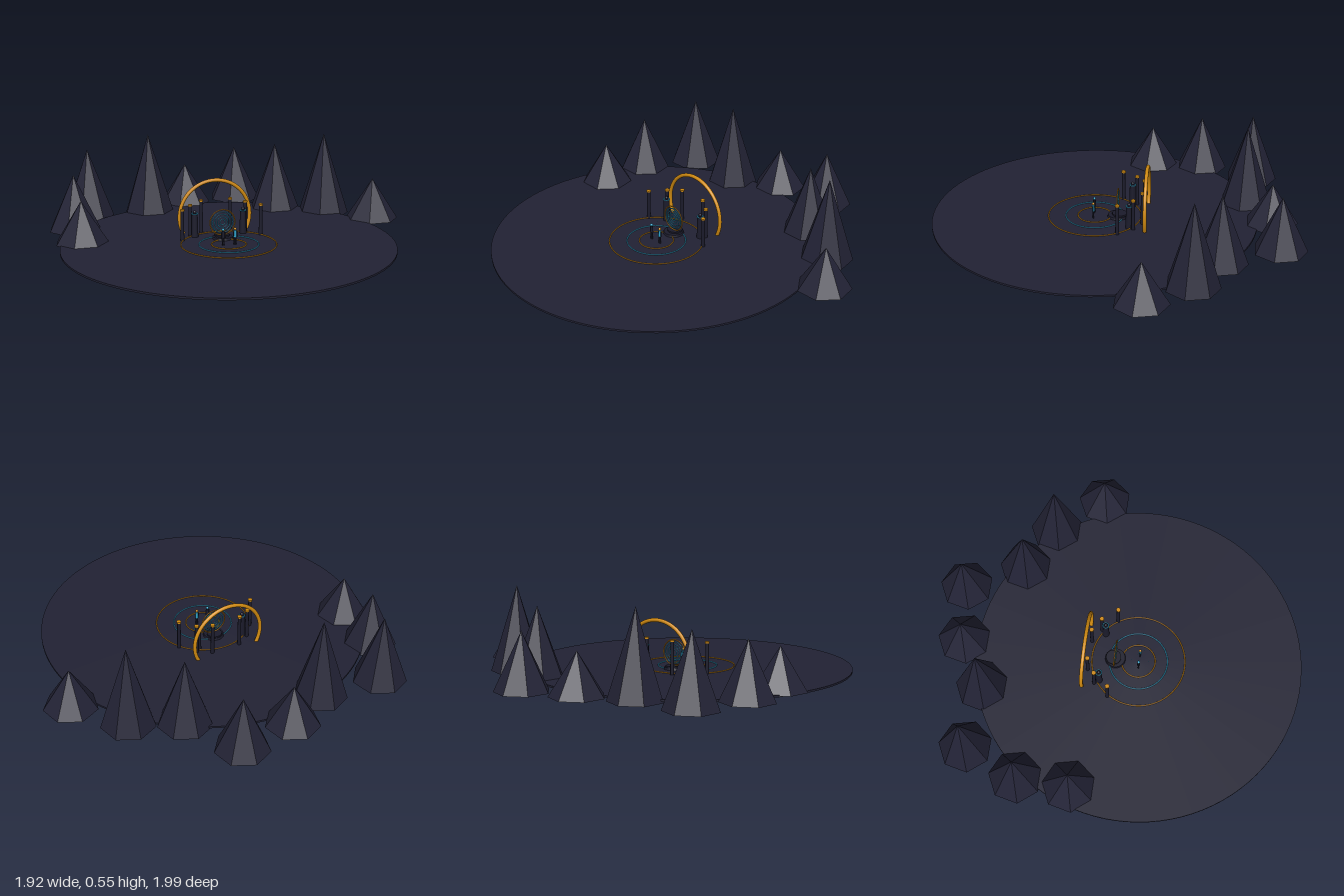
import * as THREE from 'three';

export function createModel() {
  const root = new THREE.Group();
  const mat = (name, color, flat = false) =>
    Object.assign(new THREE.MeshStandardMaterial({ color, flatShading: flat }), { name });
  const ground = mat('night ground', 0x222234);
  const rock = mat('mountain rock', 0x232336, true);
  const stone = mat('dark stone', 0x1b1b2b);
  const gold = mat('gold', 0xd08a10);
  const blue = mat('glowing blue', 0x30a4cc);

  const add = (name, geo, material, x, y, z, parent = root) => {
    const m = new THREE.Mesh(geo, material);
    m.name = name;
    m.position.set(x, y, z);
    parent.add(m);
    return m;
  };
  const cyl = (r0, r1, h, n = 12) => new THREE.CylinderGeometry(r0, r1, h, n);

  const CX = -0.09, CZ = 0.123, FLOOR = 0.12;

  // Round ground plate
  add('ground', cyl(0.868, 0.868, 0.01, 96), ground, CX, FLOOR - 0.005, CZ);

  // Seven-sided mountains, four heights repeating round the arc: [x, z]
  const spots = [[-0.81, -0.144], [-0.80, -0.424], [-0.673, -0.71], [-0.334, -0.678], [-0.09, -0.816],
    [0.217, -0.858], [0.37, -0.556], [0.617, -0.424], [0.82, -0.186]];
  spots.forEach(([x, z], i) => {
    const k = i % 4;
    const base = 0.115 - k * 0.005, top = 0.338 + k * 0.072;
    const m = add('mountain', new THREE.ConeGeometry(0.142, top - base, 7), rock, x, (base + top) / 2, z);
    m.rotation.y = Math.PI;
  });

  // Great upright hoop, half sunk through the ground
  add('greatHoop', new THREE.TorusGeometry(0.194, 0.01, 10, 72), gold, CX, 0.204, -0.155);

  // Inlaid floor rings
  for (const [r, m] of [[0.248, gold], [0.155, blue], [0.09, gold]]) {
    const ring = add('floorRing', new THREE.TorusGeometry(r, 0.003, 6, 72), m, CX, FLOOR + 0.003, CZ);
    ring.rotation.x = Math.PI / 2;
  }

  for (const s of [-1, 1]) {
    // Slim columns with gold caps: [offset from centre, z, top]
    for (const [dx, z, top] of [[0.08, -0.137, 0.3], [0.151, -0.093, 0.29], [0.213, -0.014, 0.288]]) {
      const col = new THREE.Group();
      col.name = 'column';
      col.position.set(CX + s * dx, FLOOR, z);
      root.add(col);
      const h = top - FLOOR;
      add('shaft', cyl(0.009, 0.01, h - 0.008), stone, 0, (h - 0.008) / 2, 0, col);
      add('cap', cyl(0.012, 0.012, 0.008), gold, 0, h - 0.004, 0, col);
    }
    // Stout pedestals with a glowing band and orb
    const x = CX + s * 0.132;
    add('pedestal', cyl(0.016, 0.019, 0.125), stone, x, FLOOR + 0.0625, -0.07);
    const band = add('pedestalBand', new THREE.TorusGeometry(0.016, 0.003, 6, 20), blue, x, 0.245, -0.07);
    band.rotation.x = Math.PI / 2;
    add('pedestalOrb', new THREE.SphereGeometry(0.009, 12, 8), stone, x, 0.254, -0.07);
  }

  // Dais with a step
  add('daisStep', cyl(0.052, 0.055, 0.012, 24), stone, CX, FLOOR + 0.006, 0);
  add('daisTop', cyl(0.04, 0.04, 0.02, 24), stone, CX, FLOOR + 0.01, -0.01);

  // Upright portal of concentric rings
  add('portalFrame', new THREE.TorusGeometry(0.068, 0.003, 8, 40), gold, CX, 0.207, 0);
  for (const r of [0.056, 0.042, 0.028, 0.014]) {
    add('portalRing', new THREE.TorusGeometry(r, 0.003, 6, 36), blue, CX, 0.207, 0);
  }

  // Two small standing figures
  for (const [x, trim] of [[-0.122, blue], [-0.058, gold]]) {
    const fig = new THREE.Group();
    fig.name = 'figure';
    fig.position.set(x, FLOOR, 0.128);
    root.add(fig);
    for (const s of [-1, 1]) {
      add('leg', cyl(0.0035, 0.0035, 0.04, 8), stone, s * 0.004, 0.02, 0, fig);
      add('arm', cyl(0.0025, 0.0025, 0.03, 8), stone, s * 0.0095, 0.055, 0, fig);
    }
    add('body', cyl(0.007, 0.008, 0.035, 10), x < CX ? stone : blue, 0, 0.0575, 0, fig);
    add('head', new THREE.SphereGeometry(0.0075, 12, 8), trim, 0, 0.084, 0, fig);
  }

  // Drifting sparks between the figures and the portal
  for (let i = 0; i < 6; i++) {
    add('spark', new THREE.SphereGeometry(0.0025, 6, 4), blue,
      CX + 0.03 * Math.sin(i * 2.1), 0.222 + 0.008 * Math.cos(i * 1.7), 0.03 + i * 0.03);
  }
  return root;
}
